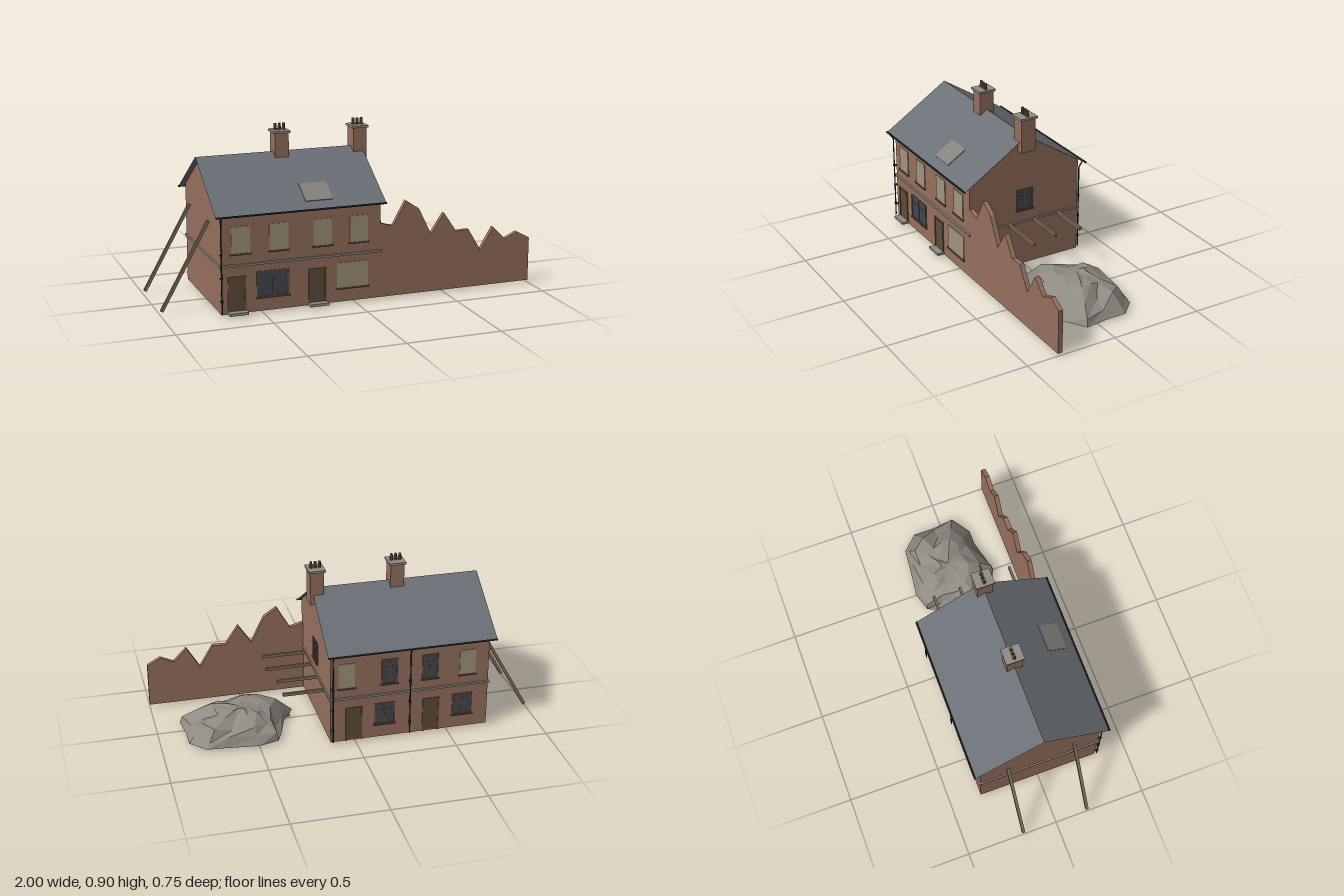
import * as THREE from 'three';

const V = (x, y, z) => new THREE.Vector3(x, y, z);
const mat = (color, extra = {}) => new THREE.MeshStandardMaterial({ color, flatShading: true, ...extra });
const D = { side: THREE.DoubleSide };
const M = {
  brick: mat(0x97705f, D), slate: mat(0x6b7077, D), stone: mat(0x8f8d85), board: mat(0xa1957b),
  door: mat(0x5f4c3a), frame: mat(0x6b5140), glass: mat(0x434950), iron: mat(0x2b2d30),
  timber: mat(0x80705a), rubble: mat(0x8f8a82, D), pot: mat(0x8a5a48), tarp: mat(0x85837e, D),
};
// House extents
const X0 = -0.72, X1 = 0.135, Z = 0.33, Y0 = 0.013, EAVE = 0.545, RIDGE = 0.757;
const SLOPE = (RIDGE - EAVE) / Z;

function add(parent, name, geo, material, x = 0, y = 0, z = 0) {
  const m = new THREE.Mesh(geo, material);
  m.name = name;
  m.position.set(x, y, z);
  parent.add(m);
  return m;
}

// Box from its minimum and maximum corners
function box(parent, name, material, x0, x1, y0, y1, z0, z1) {
  return add(parent, name, new THREE.BoxGeometry(x1 - x0, y1 - y0, z1 - z0), material,
    (x0 + x1) / 2, (y0 + y1) / 2, (z0 + z1) / 2);
}

// Straight bar between two points, round or square
function bar(parent, name, material, a, b, r, sides = 8) {
  const geo = new THREE.CylinderGeometry(r, r, a.distanceTo(b), sides);
  if (sides === 4) geo.rotateY(Math.PI / 4);
  const m = add(parent, name, geo, material);
  m.position.copy(a).lerp(b, 0.5);
  m.quaternion.setFromUnitVectors(V(0, 1, 0), b.clone().sub(a).normalize());
  return m;
}

// Wall face whose local z = 0 is the outside of the wall
function facade(parent, name, x, z, turn) {
  const g = new THREE.Group();
  g.name = name;
  g.position.set(x, 0, z);
  g.rotation.y = turn;
  parent.add(g);
  return g;
}

function sill(f, x, w, y) {
  box(f, 'sill', M.frame, x - w / 2 - 0.005, x + w / 2 + 0.005, y - 0.007, y, -0.005, 0.01);
}

function boardedWindow(f, x, w, y0, y1) {
  box(f, 'boardedWindow', M.board, x - w / 2, x + w / 2, y0, y1, -0.012, 0.004);
  sill(f, x, w, y0);
}

function glazedWindow(f, x, w, y0, y1) {
  const t = 0.005, l = x - w / 2, r = x + w / 2, ym = y0 + (y1 - y0) * 0.67;
  box(f, 'glass', M.glass, l, r, y0, y1, -0.012, 0.002);
  for (const c of [l + t / 2, x, r - t / 2])
    box(f, 'windowUpright', M.frame, c - t / 2, c + t / 2, y0, y1, -0.012, 0.005);
  for (const c of [y0 + t / 2, ym, y1 - t / 2])
    box(f, 'windowRail', M.frame, l, r, c - t / 2, c + t / 2, -0.012, 0.005);
  sill(f, x, w, y0);
}

function door(f, x, w, step) {
  box(f, 'door', M.door, x - w / 2, x + w / 2, Y0 + 0.008, 0.205, -0.012, 0.003);
  for (const s of [-1, 1])
    box(f, 'doorJamb', M.frame, x + s * w / 2 - 0.004, x + s * w / 2 + 0.004, Y0, 0.205, -0.012, 0.006);
  box(f, 'doorLintel', M.frame, x - w / 2 - 0.004, x + w / 2 + 0.004, 0.199, 0.207, -0.012, 0.008);
  if (step) box(f, 'doorStep', M.stone, x - 0.05, x + 0.05, Y0, 0.027, 0, 0.04);
}

function chimney(parent, x, base) {
  const g = new THREE.Group();
  g.name = 'chimney';
  parent.add(g);
  box(g, 'stack', M.brick, x - 0.037, x + 0.037, base, 0.86, -0.042, 0.042);
  box(g, 'cap', M.stone, x - 0.045, x + 0.045, 0.858, 0.87, -0.05, 0.05);
  for (const i of [-1, 0, 1])
    add(g, 'chimneyPot', new THREE.CylinderGeometry(0.007, 0.009, 0.035, 10), M.pot, x + i * 0.023, 0.8875, 0);
}

// Drainpipe with swan neck up to the gutter; s is the side in z
function drainpipe(parent, x, s) {
  const r = 0.0035, a = V(x, 0.018, s * 0.344), b = V(x, 0.493, s * 0.344), c = V(x, 0.525, s * 0.368);
  bar(parent, 'drainpipe', M.iron, a, b, r);
  bar(parent, 'drainpipeNeck', M.iron, b, c, r);
  for (const y of [0.085, 0.205, 0.325])
    box(parent, 'pipeBracket', M.iron, x - 0.006, x + 0.006, y - 0.004, y + 0.004,
      Math.min(s * Z, s * 0.349), Math.max(s * Z, s * 0.349));
}

// Low faceted heap: outline scaled through rising rings, with uneven radii and heights
function rubbleGeometry() {
  const rim = [[-.31, .12], [-.24, .01], [-.2, -.12], [-.17, -.19], [-.065, -.22], [.095, -.2], [.21, -.19],
    [.29, -.107], [.29, .01], [.305, .13], [.2, .2], [.12, .2], [-.065, .246], [-.16, .21]];
  const rings = [[1, 0, 0], [0.93, 0.038, 0.028], [0.72, 0.085, 0.035], [0.45, 0.115, 0.035], [0.2, 0.13, 0.02]];
  const noise = (a, b) => Math.abs(Math.sin(a * 12.99 + b * 78.23) * 437.58) % 1 - 0.5;
  const n = rim.length, pos = [], index = [];
  rings.forEach(([s, h, j], k) => rim.forEach(([x, z], i) => {
    const q = s * (1 + (k ? noise(i, k) * 0.14 : 0));
    pos.push(x * q, h + noise(i + 5, k + 2) * j, z * q);
  }));
  pos.push(0, 0.13, 0);
  for (let k = 0; k < rings.length; k++) for (let i = 0; i < n; i++) {
    const a = k * n + i, b = k * n + (i + 1) % n;
    if (k === rings.length - 1) index.push(a, rings.length * n, b);
    else index.push(a, a + n, b, b, a + n, b + n);
  }
  // the outline runs clockwise seen from above, so corners are swapped to face outward
  for (let i = 0; i < index.length; i += 3) [index[i + 1], index[i + 2]] = [index[i + 2], index[i + 1]];
  const g = new THREE.BufferGeometry();
  g.setAttribute('position', new THREE.Float32BufferAttribute(pos, 3));
  g.setIndex(index);
  const flat = g.toNonIndexed();
  flat.computeVertexNormals();
  return flat;
}

export function createModel() {
  const model = new THREE.Group();
  model.name = 'ruinedTerraceHouse';

  // Thin brick walls, open underneath
  const length = X1 - X0, cx = (X0 + X1) / 2;
  for (const s of [-1, 1]) {
    const w = add(model, s > 0 ? 'frontWall' : 'backWall', new THREE.PlaneGeometry(length, EAVE - Y0), M.brick,
      cx, (EAVE + Y0) / 2, s * Z);
    if (s < 0) w.rotation.y = Math.PI;
  }
  const gable = new THREE.Shape([[-Z, Y0], [Z, Y0], [Z, EAVE], [0, RIDGE], [-Z, EAVE]]
    .map(p => new THREE.Vector2(...p)));
  for (const [x, s] of [[X0, -1], [X1, 1]])
    add(model, 'gableWall', new THREE.ShapeGeometry(gable), M.brick, x).rotation.y = s * Math.PI / 2;

  // Roof slopes, gutters and patch
  const rx0 = -0.75, rx1 = 0.155, rz = 0.367, pitch = Math.atan(SLOPE);
  for (const s of [-1, 1]) {
    const slope = add(model, 'roofSlope', new THREE.PlaneGeometry(rx1 - rx0, rz / Math.cos(pitch)), M.slate,
      (rx0 + rx1) / 2, RIDGE + 0.002 - SLOPE * rz / 2, s * rz / 2);
    slope.rotation.set(-Math.PI / 2 + pitch, 0, 0);
    if (s < 0) slope.rotation.x = -Math.PI / 2 - pitch;
    bar(model, 'gutter', M.iron, V(rx0, 0.525, s * 0.368), V(rx1, 0.525, s * 0.368), 0.005);
  }
  const patch = add(model, 'roofPatch', new THREE.BoxGeometry(0.148, 0.105 / Math.cos(pitch), 0.004), M.tarp,
    -0.193, RIDGE + 0.005 - SLOPE * 0.264, 0.264);
  patch.rotation.x = -Math.PI / 2 + pitch;

  chimney(model, -0.298, 0.68);
  chimney(model, 0.134, 0.677);

  // Front openings
  const front = facade(model, 'frontOpenings', 0, Z, 0);
  for (const x of [-0.616, -0.415, -0.181, 0.016]) boardedWindow(front, x, 0.1, 0.325, 0.465);
  door(front, -0.638, 0.086, true);
  door(front, -0.21, 0.086, true);
  glazedWindow(front, -0.448, 0.172, 0.087, 0.222);
  boardedWindow(front, -0.018, 0.172, 0.087, 0.222);

  // Back openings, with local x mirrored by the turn
  const back = facade(model, 'backOpenings', 0, -Z, Math.PI);
  for (const x of [-0.05, 0.604]) boardedWindow(back, x, 0.088, 0.325, 0.465);
  for (const x of [0.18, 0.4]) glazedWindow(back, x, 0.088, 0.325, 0.465);
  for (const x of [-0.01, 0.408]) door(back, x, 0.083, false);
  for (const x of [0.155, 0.58]) glazedWindow(back, x, 0.11, 0.09, 0.212);

  // Gable window
  glazedWindow(facade(model, 'gableOpenings', X1, 0, Math.PI / 2), 0, 0.1, 0.335, 0.452);

  // Stone band round the house
  for (const s of [-1, 1])
    box(model, 'stoneBand', M.stone, X0 - 0.008, X1 + 0.007, 0.259, 0.27, s * 0.334 - 0.005, s * 0.334 + 0.005);
  for (const x of [X0 - 0.003, X1 + 0.002])
    box(model, 'stoneBand', M.stone, x - 0.005, x + 0.005, 0.259, 0.27, -Z, Z);

  drainpipe(model, X0, 1);
  drainpipe(model, -0.29, -1);
  drainpipe(model, 0.125, -1);

  // Broken wall of the collapsed neighbour
  const heights = [.41, .39, .518, .47, .325, .433, .327, .33, .21, .33, .257, .29, .25];
  const broken = new THREE.Shape();
  broken.moveTo(1, Y0).lineTo(X1, Y0);
  heights.forEach((y, i) => broken.lineTo(X1 + (1 - X1) * i / (heights.length - 1), y));
  add(model, 'brokenWall', new THREE.ExtrudeGeometry(broken, { depth: 0.025, bevelEnabled: false }), M.brick,
    0, 0, 0.305);

  // Snapped floor joists and leaning props
  for (const [z, end] of [[-0.207, 0.36], [-0.056, 0.36], [0.094, 0.39], [0.243, 0.38]])
    box(model, 'floorJoist', M.timber, X1 - 0.02, end, 0.253, 0.27, z - 0.0065, z + 0.0065);
  for (const z of [-0.186, 0.18])
    bar(model, 'prop', M.timber, V(-0.991, 0.017, z), V(-0.738, 0.468, z), 0.0115, 4);

  // Rubble heap with loose bricks beneath
  add(model, 'rubbleHeap', rubbleGeometry(), M.rubble, 0.565, Y0, -0.055);
  for (let i = 0; i < 22; i++) {
    const a = i * 2.4, r = 0.04 + 0.032 * Math.sqrt(i);
    const brick = add(model, 'looseBrick', new THREE.BoxGeometry(0.045, 0.014, 0.02), M.brick,
      0.56 + r * Math.cos(a), 0.026 + (i % 3) * 0.007, -0.05 + r * 0.8 * Math.sin(a));
    brick.rotation.set(0.2 * Math.sin(i * 3), a * 1.7, 0.2 * Math.cos(i * 5));
  }
  const low = box(model, 'looseBrick', M.brick, 0.28, 0.32, 0.002, 0.015, 0.008, 0.07);
  low.rotation.z = -0.1;
  return model;
}
